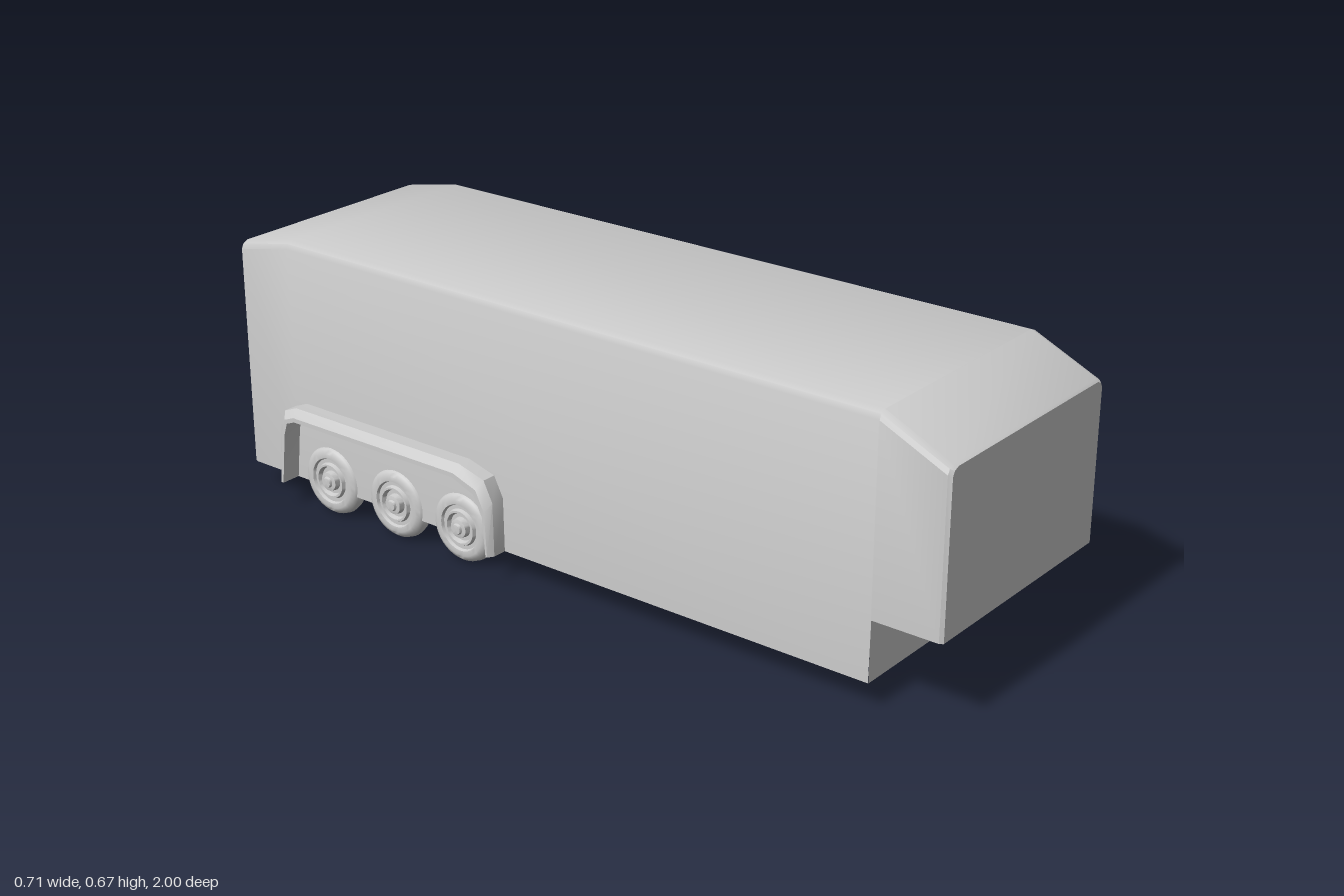
import * as THREE from 'three';
import { toCreasedNormals } from 'three/addons/utils/BufferGeometryUtils.js';

const grey = new THREE.MeshStandardMaterial({ color: 0xcccccc, side: THREE.DoubleSide });

function addMesh(parent, name, geometry) {
  const mesh = new THREE.Mesh(geometry, grey);
  mesh.name = name;
  parent.add(mesh);
  return mesh;
}

// Skin over a row of matching cross-sections, with flat end caps
function loft(sections, closed) {
  const n = sections[0].length;
  const index = [];
  for (let s = 0; s < sections.length - 1; s++) {
    for (let i = 0; i < (closed ? n : n - 1); i++) {
      const a = s * n + i, b = s * n + (i + 1) % n;
      index.push(a, b, a + n, b, b + n, a + n);
    }
  }
  const last = (sections.length - 1) * n;
  for (let i = 1; i < n - 1; i++) {
    index.push(0, i + 1, i, last, last + i, last + i + 1);
  }
  const geometry = new THREE.BufferGeometry();
  geometry.setAttribute('position', new THREE.Float32BufferAttribute(sections.flat(2), 3));
  geometry.setIndex(index);
  return toCreasedNormals(geometry, 0.5);
}

// Upside-down U of the body shell at one z, open at the bottom
function bodySection([z, half, bottom, top]) {
  const side = [
    [half, bottom], [half, top - 0.018], [half - 0.006, top - 0.006], [half - 0.02, top],
  ];
  const mirrored = side.map(([x, y]) => [-x, y]).reverse();
  return [...side, ...mirrored].map(([x, y]) => [x, y, z]);
}

function makeBody() {
  const body = new THREE.Group();
  body.name = 'body';
  // z, half width, bottom, top
  const stations = [
    [1, 0.298, 0.213, 0.595], [0.992, 0.304, 0.213, 0.599],
    [0.831, 0.304, 0.213, 0.673], [0.829, 0.304, 0.067, 0.673],
    [-0.84, 0.304, 0.067, 0.673], [-0.992, 0.304, 0.067, 0.643], [-1, 0.3, 0.067, 0.641],
  ];
  addMesh(body, 'bodyShell', loft(stations.map(bodySection), false));

  // Step under the nose
  const panel = addMesh(body, 'lowerFrontPanel', new THREE.PlaneGeometry(0.608, 0.146));
  panel.position.set(0, 0.14, 0.83);
  const plate = addMesh(body, 'noseUnderside', new THREE.PlaneGeometry(0.6, 0.17));
  plate.rotation.x = Math.PI / 2;
  plate.position.set(0, 0.213, 0.915);
  return body;
}

// Arched mudguard with a bevelled outer rim, swept between two arches
function makeFender() {
  const outer = [
    [-0.168, 0.067], [-0.17, 0.2], [-0.195, 0.25], [-0.27, 0.271],
    [-0.8, 0.271], [-0.84, 0.255], [-0.855, 0.215], [-0.867, 0.067],
  ];
  const inner = [
    [-0.182, 0.067], [-0.19, 0.165], [-0.215, 0.215], [-0.28, 0.24],
    [-0.795, 0.24], [-0.82, 0.23], [-0.83, 0.2], [-0.845, 0.067],
  ];
  // x and how far from the outer to the inner arch
  const rim = [[0.295, 0], [0.34, 0], [0.355, 0.65], [0.355, 1], [0.295, 1]];
  const sections = outer.map(([z, y], i) => rim.map(([x, t]) => [
    x, y + (inner[i][1] - y) * t, z + (inner[i][0] - z) * t,
  ]));
  return loft(sections, true);
}

// Wheel turned around its axle: radius, distance outward
function makeWheel() {
  const profile = [
    [0, -0.022], [0.055, -0.022], [0.068, -0.025], [0.08, -0.02], [0.087, -0.011], [0.09, 0],
    [0.087, 0.012], [0.08, 0.021], [0.07, 0.026], [0.058, 0.025], [0.055, 0.018],
    [0.046, 0.018], [0.043, 0.027], [0.038, 0.027], [0.034, 0.016], [0.025, 0.016],
    [0.023, 0.03], [0.014, 0.032], [0.012, 0.038], [0, 0.038],
  ].map(([r, d]) => new THREE.Vector2(r, d));
  const geometry = toCreasedNormals(new THREE.LatheGeometry(profile, 40), 0.6);
  return geometry.rotateZ(-Math.PI / 2);
}

export function createModel() {
  const trailer = new THREE.Group();
  trailer.name = 'trailer';
  trailer.add(makeBody());

  // Running gear, mirrored to both sides
  const fender = makeFender();
  const wheel = makeWheel();
  for (const side of [1, -1]) {
    const gear = new THREE.Group();
    gear.name = side > 0 ? 'leftRunningGear' : 'rightRunningGear';
    gear.scale.x = side;
    addMesh(gear, 'fender', fender);
    for (const z of [-0.3, -0.51, -0.725]) {
      addMesh(gear, 'wheel', wheel).position.set(0.288, 0.09, z);
    }
    trailer.add(gear);
  }
  return trailer;
}
